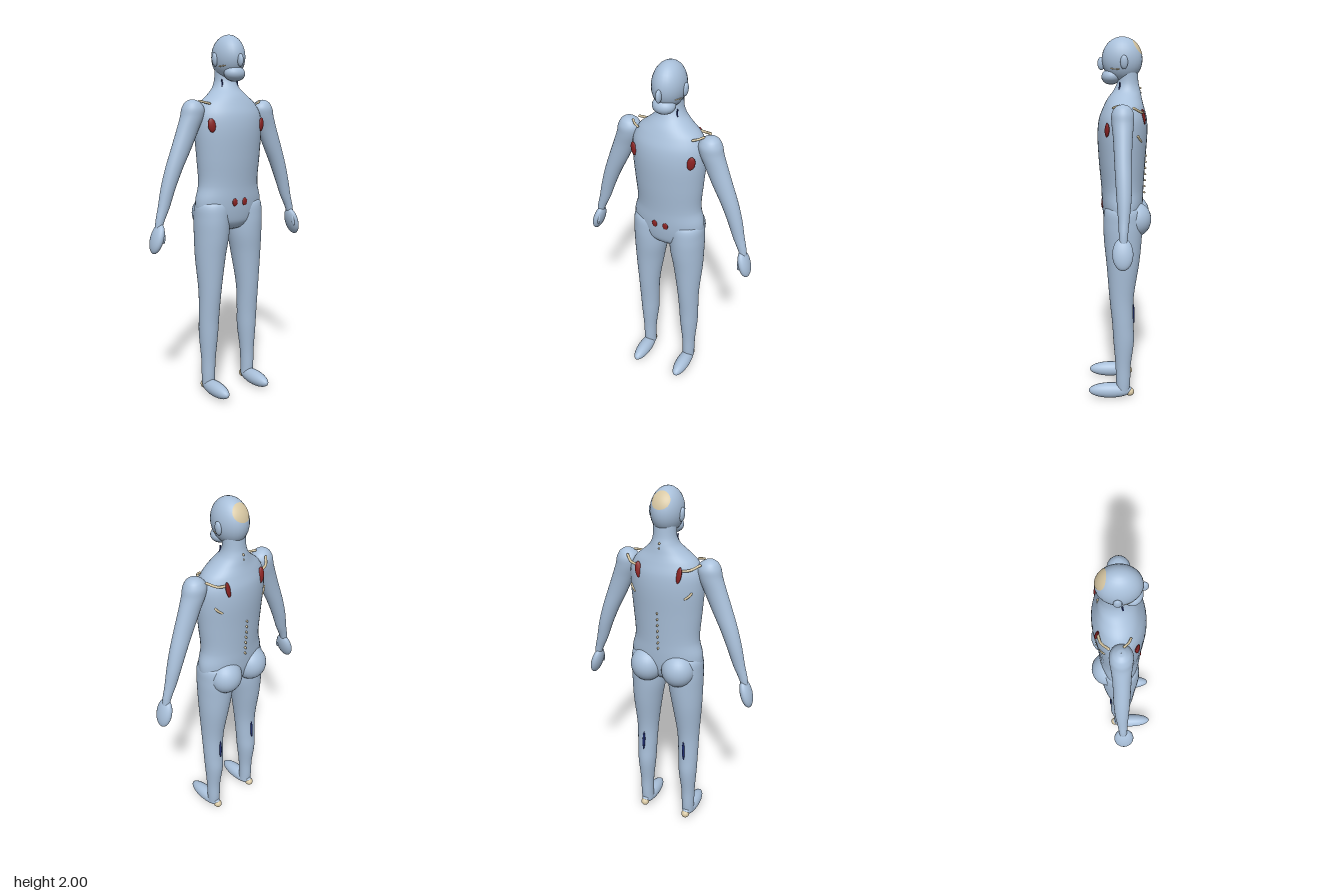
import * as THREE from 'three';

export function createModel() {
  const model = new THREE.Group();
  model.name = 'humanFigure';
  const material = (name, color) => {
    const m = new THREE.MeshStandardMaterial({ color });
    m.name = name;
    return m;
  };
  const skin = material('paleBlueSkin', 0xa9c0da);
  const red = material('darkRed', 0x8a2222);
  const bone = material('bone', 0xd6c6a2);
  const navy = material('navy', 0x1c2a6b);

  const add = (name, geometry, mat) => {
    const mesh = new THREE.Mesh(geometry, mat);
    mesh.name = name;
    model.add(mesh);
    return mesh;
  };

  // Smooth body of elliptical cross-sections; rows are [y, cx, cz, rx, rz] from bottom to top
  const loft = (name, rows, s = 1, mat = skin) => {
    const centres = new THREE.CatmullRomCurve3(rows.map(r => new THREE.Vector3(r[1] * s, r[0], r[2])));
    const radii = new THREE.CatmullRomCurve3(rows.map(r => new THREE.Vector3(r[3], r[0], r[4])));
    const N = 40, M = (rows.length - 1) * 5, pos = [], idx = [];
    for (let j = 0; j <= M; j++) {
      const c = centres.getPoint(j / M), r = radii.getPoint(j / M);
      for (let i = 0; i < N; i++) {
        const a = (i / N) * Math.PI * 2;
        pos.push(c.x + Math.max(r.x, 0.0005) * Math.sin(a), c.y, c.z + Math.max(r.z, 0.0005) * Math.cos(a));
        if (j < M) {
          const p = j * N + i, q = j * N + (i + 1) % N;
          idx.push(p, q, q + N, p, q + N, p + N);
        }
      }
    }
    const g = new THREE.BufferGeometry();
    g.setAttribute('position', new THREE.Float32BufferAttribute(pos, 3));
    g.setIndex(idx);
    g.computeVertexNormals();
    return add(name, g, mat);
  };

  // Ellipsoid, mirrored in x when s = -1
  const ball = (name, mat, p, r, rot = [0, 0, 0], s = 1) => {
    const g = new THREE.SphereGeometry(1, 28, 18).scale(...r);
    const mesh = add(name, g, mat);
    mesh.position.set(p[0] * s, p[1], p[2]);
    mesh.rotation.set(rot[0], rot[1] * s, rot[2] * s);
    return mesh;
  };

  // Thin rod through a few points
  const rod = (name, mat, pts, radius, s = 1) => {
    const curve = new THREE.CatmullRomCurve3(pts.map(p => new THREE.Vector3(p[0] * s, p[1], p[2])));
    add(name, new THREE.TubeGeometry(curve, 12, radius, 8), mat);
    for (const p of [pts[0], pts[pts.length - 1]]) ball(name + 'End', mat, p, [radius, radius, radius], undefined, s);
  };

  // Torso and neck
  loft('torso', [
    [0.94, 0, -0.01, 0, 0], [0.96, 0, -0.012, 0.09, 0.06], [1.0, 0, -0.018, 0.17, 0.095],
    [1.06, 0, -0.02, 0.203, 0.108], [1.12, 0, -0.02, 0.205, 0.113], [1.2, 0, -0.02, 0.185, 0.116],
    [1.35, 0, -0.018, 0.194, 0.127], [1.5, 0, -0.02, 0.205, 0.135], [1.58, 0, -0.023, 0.2, 0.128],
    [1.64, 0, -0.027, 0.168, 0.108], [1.68, 0, -0.032, 0.12, 0.092], [1.72, 0, -0.043, 0.078, 0.073],
    [1.76, 0, -0.048, 0.062, 0.058], [1.84, 0, -0.045, 0.06, 0.055],
  ]);

  // Head
  const headCentre = [0, 1.883, -0.018], headRadii = [0.083, 0.117, 0.108];
  ball('head', skin, headCentre, headRadii);
  ball('jaw', skin, [0, 1.795, 0.04], [0.06, 0.042, 0.052], [0.1, 0, 0]);
  ball('nose', skin, [0, 1.862, 0.093], [0.014, 0.034, 0.02]);

  // Bone patch on the crown: a cap widened sideways and laid on the head
  const cap = new THREE.SphereGeometry(1, 32, 8, 0, Math.PI * 2, 0, 0.44);
  const v = new THREE.Vector3(), capPos = cap.attributes.position;
  for (let i = 0; i < capPos.count; i++) {
    v.fromBufferAttribute(capPos, i);
    v.set(v.x * 1.5, v.y, v.z).normalize();
    capPos.setXYZ(i, v.x, v.y, v.z);
  }
  cap.rotateX(-0.95).scale(...headRadii.map(r => r * 1.008)).translate(...headCentre);
  add('crownPatch', cap, bone);

  // Spine knobs
  for (let i = 0; i < 7; i++) {
    ball('spineKnob', bone, [0, 1.17 + i * 0.034, -0.138 - i * 0.0012], [0.005, 0.006, 0.011], [-0.4, 0, 0]);
  }
  for (const y of [1.71, 1.735]) ball('neckKnob', bone, [0, y, -0.113], [0.005, 0.006, 0.009]);

  for (const s of [1, -1]) {
    // Head side details
    ball('ear', skin, [0.083, 1.868, -0.026], [0.013, 0.036, 0.02], [0, 0, -0.1], s);
    rod('cheekBone', bone, [[0.071, 1.832, 0.0], [0.066, 1.834, 0.022], [0.058, 1.836, 0.04]], 0.004, s);
    rod('neckCord', navy, [[0.052, 1.762, -0.005], [0.05, 1.745, -0.004], [0.053, 1.73, -0.001]], 0.004, s);

    // Arm and hand
    loft('arm', [
      [0.99, 0.452, -0.013, 0.018, 0.02], [1.04, 0.438, -0.014, 0.025, 0.023], [1.1, 0.416, -0.016, 0.032, 0.028],
      [1.2, 0.386, -0.018, 0.04, 0.037], [1.3, 0.35, -0.017, 0.048, 0.042], [1.4, 0.307, -0.015, 0.056, 0.045],
      [1.5, 0.265, -0.015, 0.061, 0.05], [1.57, 0.237, -0.015, 0.064, 0.057], [1.61, 0.23, -0.015, 0.062, 0.057],
      [1.64, 0.231, -0.015, 0.045, 0.043], [1.656, 0.233, -0.015, 0.02, 0.02], [1.659, 0.233, -0.015, 0, 0],
    ], s);
    ball('hand', skin, [0.462, 0.943, -0.01], [0.029, 0.082, 0.052], [0, 0, 0.3], s);
    ball('thumb', skin, [0.442, 0.952, 0.026], [0.008, 0.033, 0.01], [-0.15, 0, 0.1], s);

    // Leg, buttock and foot
    loft('leg', [
      [0.05, 0.137, -0.022, 0.036, 0.036], [0.1, 0.138, -0.022, 0.037, 0.04], [0.2, 0.137, -0.022, 0.04, 0.043],
      [0.35, 0.134, -0.025, 0.053, 0.058], [0.45, 0.133, -0.02, 0.057, 0.059], [0.6, 0.13, -0.013, 0.063, 0.067],
      [0.8, 0.122, -0.02, 0.084, 0.09], [0.92, 0.113, -0.02, 0.096, 0.102], [1.02, 0.111, -0.02, 0.098, 0.105],
      [1.1, 0.105, -0.02, 0.095, 0.095], [1.13, 0.1, -0.02, 0.05, 0.05],
    ], s);
    ball('buttock', skin, [0.093, 1.037, -0.083], [0.092, 0.097, 0.092], undefined, s);
    ball('foot', skin, [0.138, 0.047, 0.05], [0.042, 0.043, 0.124], undefined, s);
    ball('heel', bone, [0.138, 0.036, -0.06], [0.024, 0.023, 0.025], undefined, s);
    ball('calfStrip', navy, [0.128, 0.51, -0.079], [0.008, 0.062, 0.007], [0.04, 0, 0.03], s);

    // Red patches on chest, belly and upper back
    ball('chestPatch', red, [0.164, 1.525, 0.064], [0.021, 0.037, 0.01], [0, 0.4, -0.15], s);
    ball('bellyPatch', red, [0.032, 1.11, 0.09], [0.016, 0.022, 0.007], undefined, s);
    ball('backPatch', red, [0.113, 1.59, -0.127], [0.017, 0.042, 0.009], [0.2, 0.35, -0.15], s);

    // Collar and shoulder blade bones
    rod('collarBone', bone, [[0.155, 1.638, 0.032], [0.178, 1.644, 0.021], [0.199, 1.651, 0]], 0.006, s);
    rod('shoulderBladeSpine', bone, [[0.12, 1.612, -0.122], [0.165, 1.618, -0.108], [0.203, 1.638, -0.072]], 0.007, s);
    rod('shoulderBladeTip', bone, [[0.142, 1.465, -0.114], [0.158, 1.477, -0.106], [0.17, 1.492, -0.097]], 0.006, s);
  }
  return model;
}
